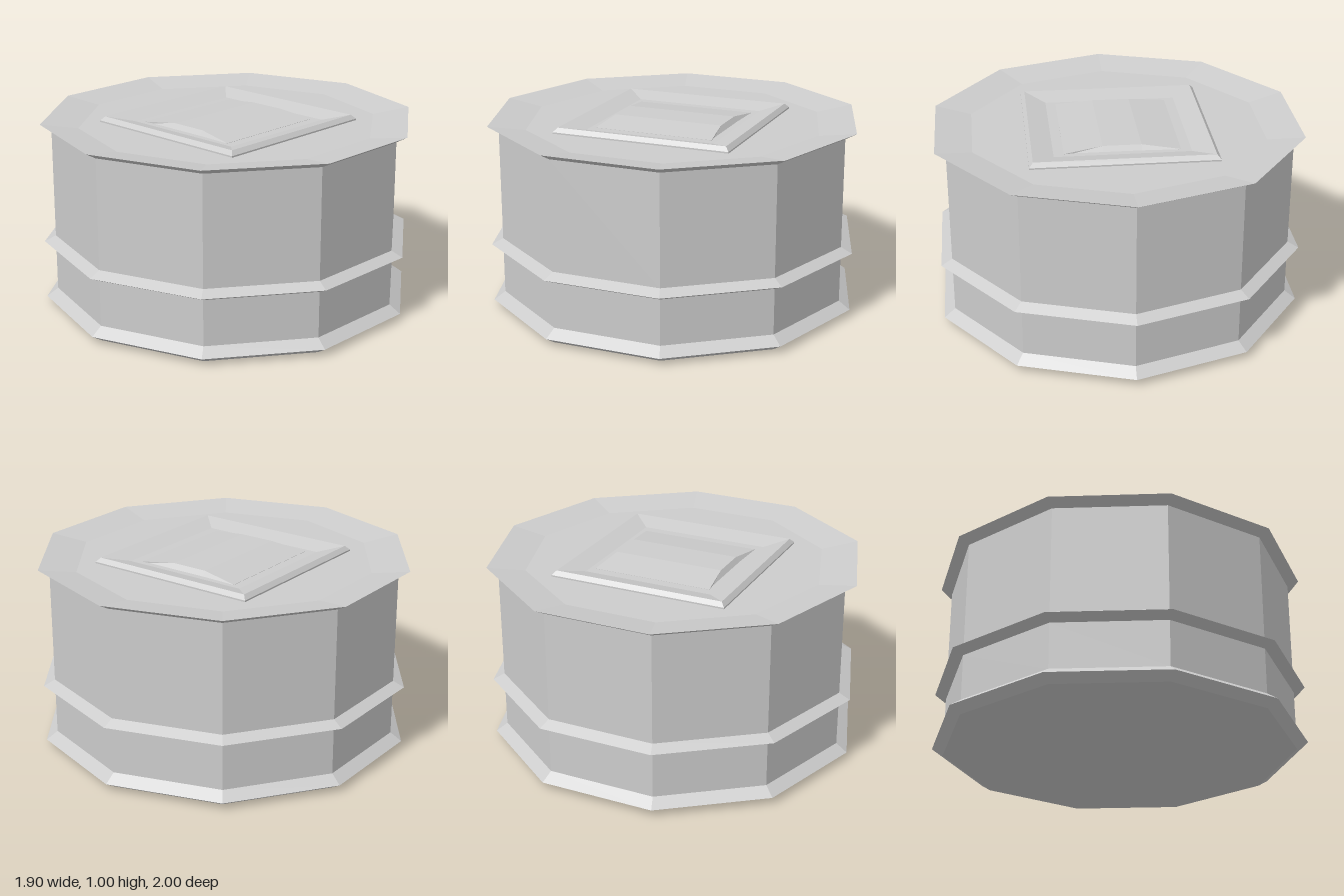
import * as THREE from 'three';

const grey = new THREE.MeshStandardMaterial({ color: 0xcccccc, flatShading: true });
grey.name = 'plain grey';

// Faceted solid of revolution from [radius, height] pairs
function faceted(name, profile, sides, start = 0) {
  const points = profile.map(([r, y]) => new THREE.Vector2(r, y));
  const geometry = new THREE.LatheGeometry(points, sides, start).toNonIndexed();
  geometry.computeVertexNormals();
  const mesh = new THREE.Mesh(geometry, grey);
  mesh.name = name;
  return mesh;
}

export function createModel() {
  const model = new THREE.Group();
  model.name = 'lidded drum';

  // Ten-sided body with three sharp flanges and a shallow dished top
  const BODY = 0.94, FLANGE = 1, DISH = 0.97;
  model.add(faceted('drumBody', [
    [0, 0], [BODY, 0], [FLANGE, 0.037], [BODY, 0.08],
    [BODY, 0.325], [FLANGE, 0.353], [BODY, 0.383],
    [BODY, 0.967], [FLANGE, 1], [0.8, DISH], [0, DISH],
  ], 10));

  // Square hatch: bevelled outside, sloping in to a recessed floor
  const d = Math.SQRT2, FLOOR = 0.973;
  model.add(faceted('hatchFrame', [
    [0.483 * d, DISH], [0.483 * d, 0.978], [0.463 * d, 1], [0.353 * d, FLOOR], [0, FLOOR],
  ], 4, Math.PI / 4));

  // Low arched pad: the middle is raised and narrows slightly
  const pad = new THREE.BoxGeometry(0.6, 0.01, 0.65, 3, 1, 1);
  const p = pad.attributes.position;
  for (let i = 0; i < p.count; i++) {
    if (p.getY(i) < 0) continue;
    const raised = Math.abs(p.getX(i)) < 0.2 ? 1 : 0;
    p.setY(i, 0.005 + 0.025 * raised);
    p.setZ(i, p.getZ(i) * (1 - 0.075 * raised));
  }
  pad.computeVertexNormals();
  const padMesh = new THREE.Mesh(pad, grey);
  padMesh.name = 'hatchPad';
  padMesh.position.y = FLOOR - 0.004;
  model.add(padMesh);

  return model;
}
